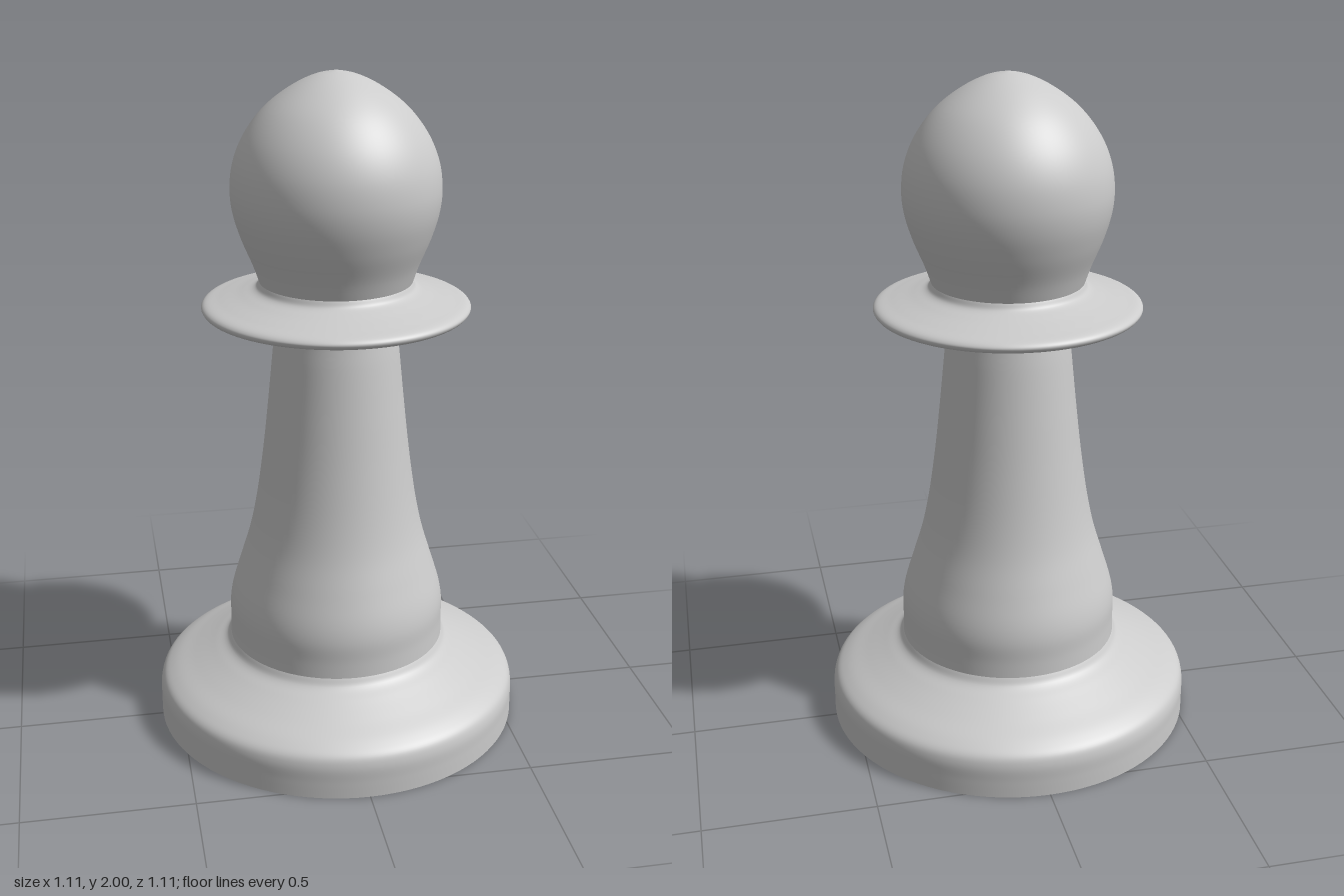
import * as THREE from 'three';

const SIDES = 96;
const material = new THREE.MeshStandardMaterial({ color: 0xcccccc });

// Smooth turned part from a bottom-to-top profile of [radius, height]
function turned(name, profile, steps) {
  const curve = new THREE.CatmullRomCurve3(
    profile.map(([r, y]) => new THREE.Vector3(r, y, 0)), false, 'centripetal');
  const points = curve.getPoints(steps).map(p => new THREE.Vector2(Math.max(p.x, 0), p.y));
  const mesh = new THREE.Mesh(new THREE.LatheGeometry(points, SIDES), material);
  mesh.name = name;
  return mesh;
}

export function createModel() {
  const model = new THREE.Group();
  model.name = 'pawn';

  // Flat underside with a sharp rim
  const underside = new THREE.Mesh(new THREE.CircleGeometry(0.557, SIDES), material);
  underside.name = 'underside';
  underside.rotation.x = Math.PI / 2;
  model.add(underside);

  // Foot: upright rim, rounded shoulder and slope up to the stem
  model.add(turned('base', [
    [0.557, 0], [0.557, 0.05], [0.556, 0.1], [0.546, 0.128], [0.515, 0.152],
    [0.45, 0.184], [0.385, 0.217], [0.345, 0.24], [0.331, 0.262],
  ], 48));

  // Stem: short straight band, bell and slender taper
  model.add(turned('stem', [
    [0.331, 0.262], [0.33, 0.31], [0.33, 0.37], [0.322, 0.42], [0.295, 0.51],
    [0.265, 0.61], [0.244, 0.71], [0.222, 0.86], [0.204, 1.02], [0.188, 1.18],
    [0.179, 1.27], [0.182, 1.288], [0.2, 1.296],
  ], 72));

  // Collar: thin disc with a rounded edge, sweeping into the neck
  model.add(turned('collar', [
    [0.2, 1.296], [0.29, 1.3], [0.37, 1.306], [0.388, 1.312], [0.394, 1.324],
    [0.385, 1.335], [0.34, 1.348], [0.275, 1.365], [0.235, 1.38], [0.224, 1.398],
  ], 60));

  // Head: bulb drawn to a slight point
  model.add(turned('head', [
    [0.224, 1.398], [0.242, 1.45], [0.275, 1.53], [0.297, 1.605], [0.303, 1.67],
    [0.293, 1.745], [0.262, 1.82], [0.205, 1.895], [0.13, 1.953], [0.06, 1.987], [0, 2],
  ], 60));

  return model;
}
